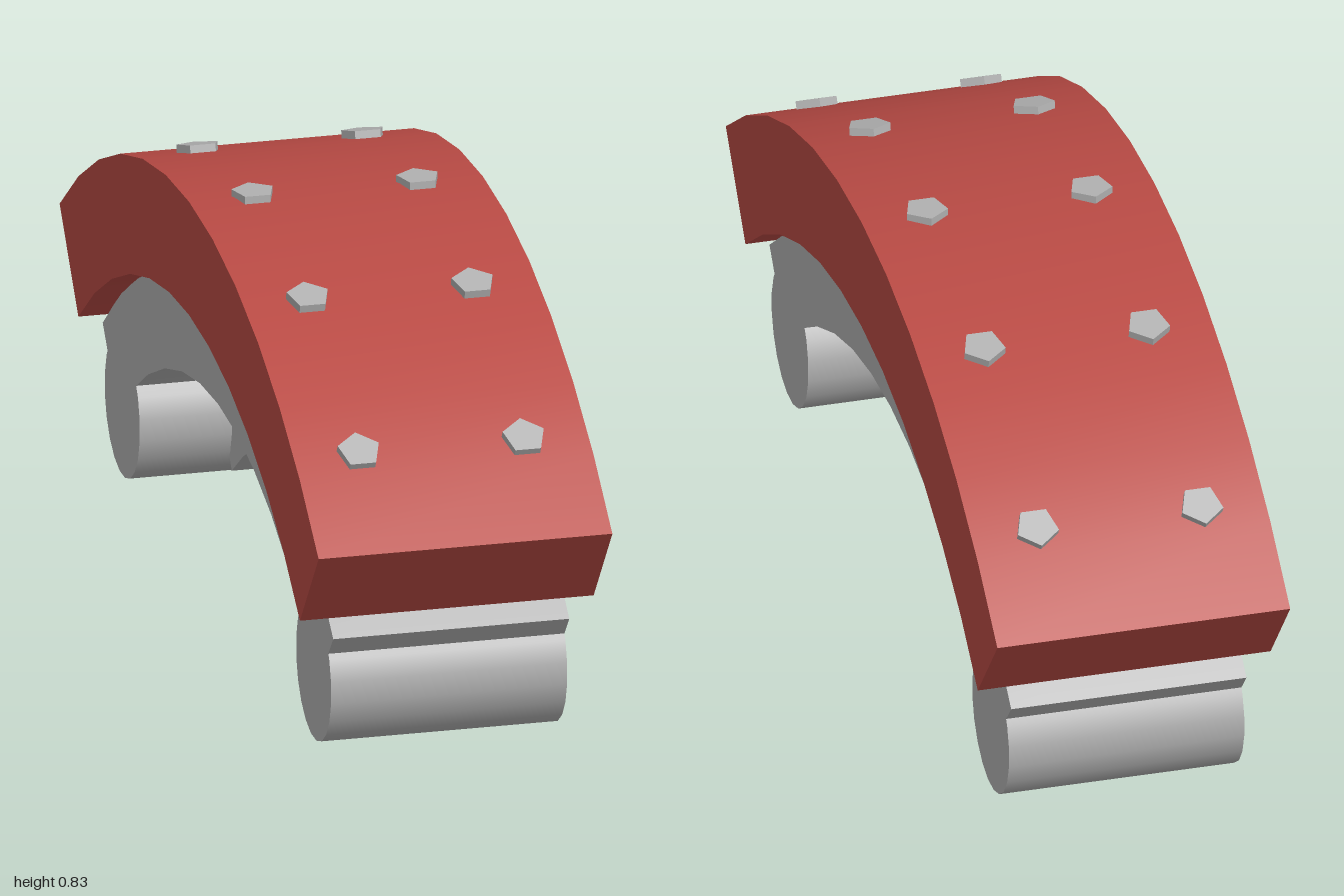
import * as THREE from 'three';
import { toCreasedNormals } from 'three/addons/utils/BufferGeometryUtils.js';

const CENTRE_Y = -0.754; // common centre of all the arcs
const R_OUTER = 1.569, R_LINING = 1.342, R_TABLE = 1.159, R_WEB = 0.998;
const rad = THREE.MathUtils.degToRad;

// Curved bar between two radii, spanning +-halfAngle about the top, centred on x
function arcBar(inner, outer, halfAngle, width, segments = 12) {
  const points = [];
  const addArc = (r, from, to) => {
    for (let i = 0; i <= segments; i++) {
      const a = rad(from + (to - from) * i / segments);
      points.push(new THREE.Vector2(r * Math.sin(a), CENTRE_Y + r * Math.cos(a)));
    }
  };
  addArc(outer, halfAngle, -halfAngle);
  addArc(inner, -halfAngle, halfAngle);
  const geometry = new THREE.ExtrudeGeometry(new THREE.Shape(points), { depth: width, bevelEnabled: false });
  geometry.translate(0, 0, -width / 2).rotateY(Math.PI / 2);
  return toCreasedNormals(geometry, rad(30));
}

export function createModel() {
  const model = new THREE.Group();
  model.name = 'brakeShoe';
  const red = new THREE.MeshStandardMaterial({ name: 'liningRed', color: 0xb84a44 });
  const steel = new THREE.MeshStandardMaterial({ name: 'steelGrey', color: 0xb0b0b0 });

  const add = (name, geometry, material) => {
    const mesh = new THREE.Mesh(geometry, material);
    mesh.name = name;
    model.add(mesh);
    return mesh;
  };

  // Friction lining, carrier plate and stiffening web
  add('frictionLining', arcBar(R_LINING, R_OUTER, 39.6, 0.57), red);
  add('carrierPlate', arcBar(R_TABLE, R_LINING, 41.55, 0.458), steel);
  add('web', arcBar(R_WEB, R_TABLE + 0.01, 37.4, 0.1), steel);

  // Round pivot bars at both ends
  const pivot = new THREE.CylinderGeometry(0.136, 0.136, 0.458, 20);
  pivot.rotateY(Math.PI / 20).rotateZ(Math.PI / 2);
  for (const side of [1, -1]) {
    add(side > 0 ? 'frontPivot' : 'backPivot', pivot, steel).position.set(0, 0.135, side * 0.739);
  }

  // Five-sided rivet heads in two rows over the lining, one point towards the back
  const rivet = new THREE.CylinderGeometry(0.042, 0.042, 0.04, 5).rotateY(Math.PI).toNonIndexed();
  rivet.computeVertexNormals();
  const r = R_OUTER - 0.007;
  for (let i = -2; i <= 2; i++) {
    const a = rad(15.6 * i);
    for (const x of [-0.16, 0.16]) {
      const head = add('rivet', rivet, steel);
      head.position.set(x, CENTRE_Y + r * Math.cos(a), r * Math.sin(a));
      head.rotation.x = a;
    }
  }
  return model;
}
